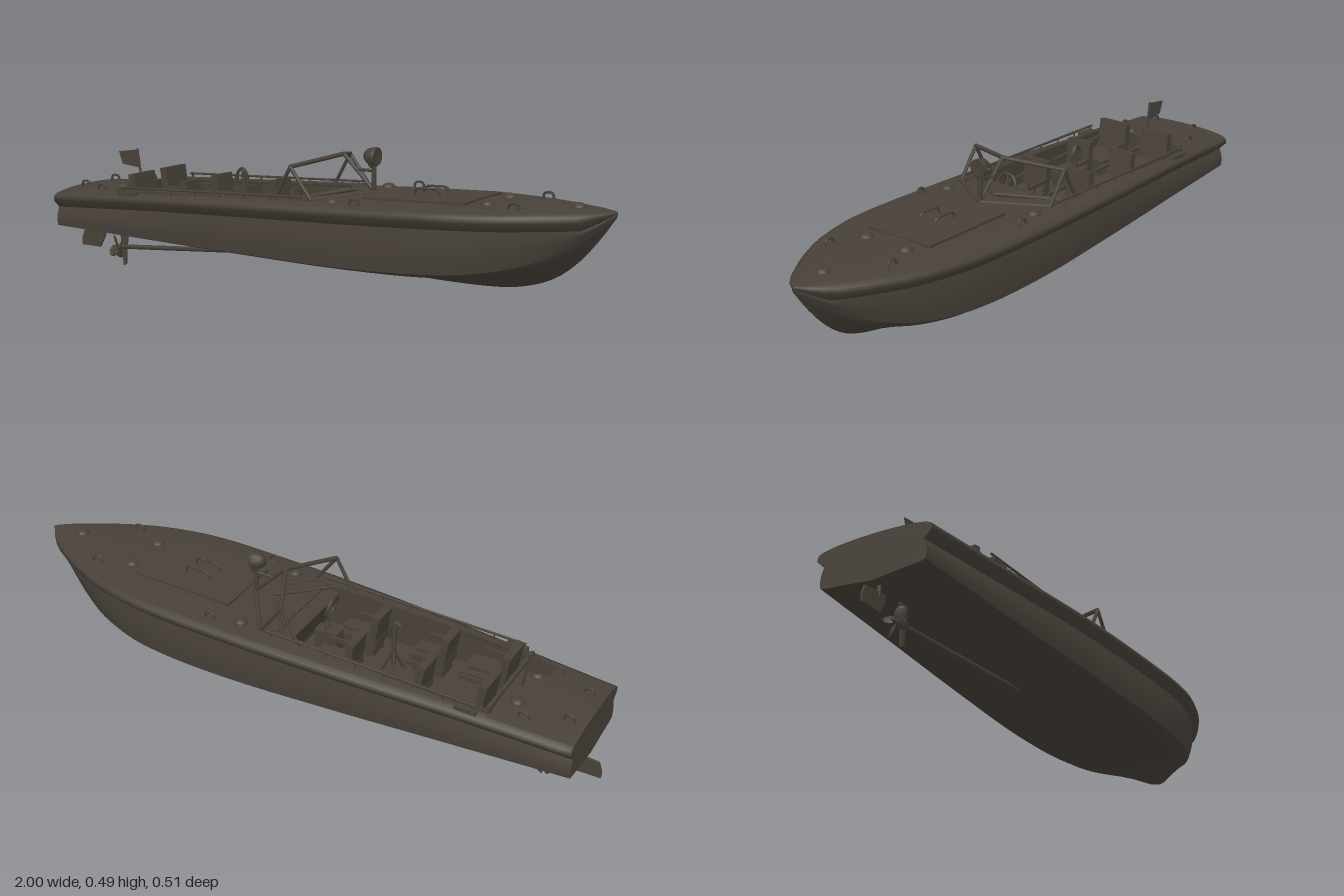
import * as THREE from 'three';

const paint = new THREE.MeshStandardMaterial({ color: 0x484139, side: THREE.DoubleSide });
paint.name = 'dark olive brown';

// Stations: x, half beam, sheer height, keel height, chine half width, chine height
const stations = [
  [-0.96, 0.19, 0.268, 0.135, 0.172, 0.155],
  [-0.6, 0.212, 0.292, 0.122, 0.19, 0.152],
  [-0.2, 0.24, 0.315, 0.112, 0.212, 0.15],
  [0.2, 0.253, 0.333, 0.104, 0.226, 0.15],
  [0.5, 0.246, 0.346, 0.097, 0.212, 0.16],
  [0.68, 0.208, 0.351, 0.106, 0.165, 0.18],
  [0.8, 0.156, 0.355, 0.142, 0.11, 0.215],
  [0.88, 0.11, 0.357, 0.2, 0.068, 0.258],
  [0.95, 0.06, 0.36, 0.28, 0.03, 0.31],
  [0.997, 0.003, 0.362, 0.348, 0.001, 0.352],
];
// Smooth interpolation between stations
function at(x, col) {
  let i = 0;
  while (i < stations.length - 2 && x > stations[i + 1][0]) i++;
  const slope = (k) => {
    const a = stations[Math.max(k - 1, 0)], b = stations[Math.min(k + 1, stations.length - 1)];
    return (b[col] - a[col]) / (b[0] - a[0]);
  };
  const p = stations[i], q = stations[i + 1], h = q[0] - p[0], t = (x - p[0]) / h;
  const t2 = t * t, t3 = t2 * t;
  return (2 * t3 - 3 * t2 + 1) * p[col] + (t3 - 2 * t2 + t) * h * slope(i)
    + (3 * t2 - 2 * t3) * q[col] + (t3 - t2) * h * slope(i + 1);
}
function dims(x) {
  const [b, s, k, c, cy] = [1, 2, 3, 4, 5].map((n) => at(x, n));
  return { b, s, k, c, cy, r: Math.min(0.026, b * 0.4), d: Math.min(1, (s - k) / 0.12) };
}
function deckY(x, z) {
  const { b, s } = dims(x);
  return s + 0.013 * Math.min(1, b / 0.15) * (1 - Math.min(1, (z / b) ** 2));
}
// Cross-sections as [y, z] points, from the keel outward and up
const bottom = (x) => {
  const { k, c, cy } = dims(x);
  return [[0, 0], [0.3, 0.32], [0.6, 0.58], [0.9, 0.8], [1, 1]].map(([u, v]) => [k + (cy - k) * v, c * u]);
};
const side = (x) => {
  const { b, s, c, cy, r, d } = dims(x), top = s - 0.05 * d;
  return [0, 0.25, 0.5, 0.75, 1].map((t) =>
    [cy + (top - cy) * t, c + (b - r - c) * t + 0.006 * d * Math.sin(Math.PI * t)]);
};
const rail = (x) => {
  const { b, s, r, d } = dims(x);
  return [[s - 0.05 * d, b - r], [s - 0.024 * d, b], [s - 0.008 * d, b - 0.15 * r], [s, b - 0.8 * r]];
};
const deckTo = (inner) => (x) => {
  const { b, r } = dims(x), out = b - 0.8 * r;
  return [0, 0.25, 0.5, 0.75, 1].map((t) => {
    const z = out + (inner - out) * t;
    return [t === 0 ? dims(x).s : deckY(x, z), z];
  });
};

export function createModel() {
  const boat = new THREE.Group();
  boat.name = 'patrolBoat';
  const V = (p) => new THREE.Vector3(...p);

  function add(name, geo, pos = [0, 0, 0], rot = [0, 0, 0], parent = boat) {
    const m = new THREE.Mesh(geo, paint);
    m.name = name;
    m.position.set(...pos);
    m.rotation.set(...rot);
    parent.add(m);
    return m;
  }
  const box = (name, size, pos, rot, parent) => add(name, new THREE.BoxGeometry(...size), pos, rot, parent);
  // Round or square bar between two points
  function bar(name, p, q, r, sides = 8) {
    const a = V(p), b = V(q);
    const m = add(name, new THREE.CylinderGeometry(r, r, a.distanceTo(b), sides), a.clone().add(b).multiplyScalar(0.5).toArray());
    m.quaternion.setFromUnitVectors(new THREE.Vector3(0, 1, 0), b.sub(a).normalize());
    return m;
  }
  const tube = (name, pts, r, parent = boat) =>
    add(name, new THREE.TubeGeometry(new THREE.CatmullRomCurve3(pts.map(V)), 16, r, 6), undefined, undefined, parent);
  // Mirrored skin through cross-sections
  function loft(name, x0, x1, n, section) {
    for (const sgn of [1, -1]) {
      const pos = [], idx = [];
      let w = 0;
      for (let i = 0; i <= n; i++) {
        const x = x0 + (x1 - x0) * i / n, pts = section(x);
        w = pts.length;
        for (const [y, z] of pts) pos.push(x, y, z * sgn);
      }
      for (let i = 0; i < n; i++) for (let j = 0; j < w - 1; j++) {
        const a = i * w + j, b = a + w, c = a + 1, e = b + 1;
        idx.push(...(sgn > 0 ? [a, b, c, b, e, c] : [a, c, b, b, c, e]));
      }
      const g = new THREE.BufferGeometry();
      g.setAttribute('position', new THREE.Float32BufferAttribute(pos, 3));
      g.setIndex(idx);
      g.computeVertexNormals();
      add(name, g);
    }
  }

  // Hull
  const stern = -0.96, bow = 0.997, well = [-0.69, 0.03], wz = 0.165, floor = 0.19;
  loft('hullBottom', stern, bow, 70, bottom);
  loft('hullSide', stern, bow, 70, side);
  loft('rubRail', stern, bow, 70, rail);
  const half = [...bottom(stern), ...side(stern), ...rail(stern), ...deckTo(0)(stern)].map(([y, z]) => new THREE.Vector2(z, y));
  const outline = [...half, ...half.slice(1, -1).reverse().map((p) => new THREE.Vector2(-p.x, p.y))];
  add('transom', new THREE.ShapeGeometry(new THREE.Shape(outline)).rotateY(-Math.PI / 2), [stern, 0, 0]);

  // Deck and cockpit well
  loft('aftDeck', stern, well[0], 10, deckTo(0));
  loft('sideDeck', well[0], well[1], 20, deckTo(wz));
  loft('foreDeck', well[1], bow, 40, deckTo(0));
  loft('cockpitWall', well[0], well[1], 12, (x) => [[floor, wz], [deckY(x, wz), wz]]);
  box('cockpitFloor', [well[1] - well[0], 0.01, wz * 2], [(well[0] + well[1]) / 2, floor, 0]);
  for (const x of well) {
    const h = deckY(x, 0) - floor;
    box('bulkhead', [0.008, h, wz * 2], [x, floor + h / 2 - 0.004, 0]);
  }
  box('dashboard', [0.05, 0.07, 0.31], [0.01, 0.29, 0], [0, 0, 0.25]);
  box('aftCoaming', [0.012, 0.02, 0.34], [well[0], 0.298, 0]);
  for (const s of [1, -1]) {
    // Coaming and low handrail beside the cockpit
    bar('coaming', [-0.69, 0.293, s * 0.168], [0.07, 0.334, s * 0.168], 0.009, 4);
    bar('handrail', [-0.66, 0.313, s * 0.186], [0.05, 0.345, s * 0.186], 0.004, 6);
    for (let i = 0; i < 8; i++) {
      const x = -0.65 + i * 0.097, y = deckY(x, 0.186);
      bar('railPost', [x, y - 0.004, s * 0.186], [x, 0.3135 + (x + 0.65) * 0.045, s * 0.186], 0.003, 6);
    }
    box('boardingStep', [0.07, 0.012, 0.02], [-0.63, 0.294, s * 0.19], [0, 0, 0.06]);
  }

  // Seats facing forward
  function seat(name, x, z, len, width, top) {
    const g = new THREE.Group();
    g.name = name;
    boat.add(g);
    box('seatBase', [len * 0.85, 0.045, width * 0.85], [x + len / 2, floor + 0.022, z], undefined, g);
    box('seatCushion', [len, 0.025, width], [x + len / 2, floor + 0.055, z], undefined, g);
    box('seatBack', [0.025, top - floor - 0.06, width], [x + 0.008, (top + floor + 0.06) / 2, z], [0, 0, 0.15], g);
    for (const s of [1, -1]) box('armrest', [len * 0.7, 0.012, 0.01], [x + len * 0.45, floor + 0.095, z + s * width / 2], undefined, g);
  }
  for (const s of [1, -1]) {
    seat('rearSeat', -0.66, s * 0.085, 0.15, 0.11, 0.352);
    seat('middleSeat', -0.455, s * 0.085, 0.12, 0.09, 0.342);
    seat('frontSeat', -0.215, s * 0.085, 0.14, 0.09, 0.346);
  }
  box('rearBench', [0.16, 0.04, 0.31], [-0.6, 0.212, 0]);
  // Helm and levers
  add('steeringWheel', new THREE.TorusGeometry(0.036, 0.004, 6, 20), [-0.035, 0.312, 0.08], [0, Math.PI / 2 - 0.4, 0]).rotation.set(0, Math.PI / 2, 0.3, 'ZYX');
  bar('steeringColumn', [-0.035, 0.312, 0.08], [0.01, 0.295, 0.08], 0.005);
  for (let i = 0; i < 3; i++) {
    const a = i * Math.PI * 2 / 3, c = Math.cos(a) * 0.035;
    bar('wheelSpoke', [-0.035, 0.312, 0.08], [-0.035 - c * 0.3, 0.312 + c * 0.95, 0.08 + Math.sin(a) * 0.035], 0.003, 6);
  }
  box('centreConsole', [0.08, 0.09, 0.045], [-0.07, 0.24, 0]);
  for (const s of [1, -1]) bar('throttleLever', [-0.07, 0.28, s * 0.012], [-0.06, 0.325, s * 0.012], 0.003, 6);
  // Pedestal on three legs
  bar('pedestalPost', [-0.3, 0.23, 0], [-0.3, 0.375, 0], 0.008);
  for (let i = 0; i < 3; i++) {
    const a = i * Math.PI * 2 / 3;
    bar('pedestalLeg', [-0.3, 0.28, 0], [-0.3 + 0.045 * Math.cos(a), floor, 0.045 * Math.sin(a)], 0.005, 6);
  }
  tube('pedestalCradle', [[-0.33, 0.325, 0], [-0.325, 0.365, 0], [-0.305, 0.383, 0], [-0.288, 0.365, 0], [-0.285, 0.325, 0]], 0.005);

  // Open V windscreen frame
  const topMid = [0.085, 0.46, 0], baseMid = [0.2, 0.347, 0];
  bar('windscreenCentrePost', topMid, baseMid, 0.006);
  for (const s of [1, -1]) {
    const top = [0, 0.434, s * 0.176], base = [0.075, 0.336, s * 0.176];
    bar('windscreenTopRail', top, topMid, 0.007);
    bar('windscreenSidePost', top, base, 0.006);
    bar('windscreenSill', base, baseMid, 0.008);
    bar('windscreenBrace', top, [-0.06, 0.325, s * 0.176], 0.006);
    bar('dashEdge', [0.0, 0.332, s * 0.165], [0.13, 0.352, 0], 0.006);
  }
  // Searchlight on its post
  bar('lightPost', [0.195, 0.34, 0], [0.195, 0.432, 0], 0.008);
  bar('lightBrace', [0.125, 0.415, 0], [0.195, 0.415, 0], 0.005);
  add('lightYoke', new THREE.TorusGeometry(0.034, 0.004, 6, 16, Math.PI), [0.193, 0.46, 0], [Math.PI, Math.PI / 2, 0]);
  const lamp = [[0, -0.032], [0.014, -0.029], [0.024, -0.018], [0.029, 0], [0.029, 0.014], [0.026, 0.014], [0, 0.011]];
  add('searchlight', new THREE.LatheGeometry(lamp.map((p) => new THREE.Vector2(...p)), 14), [0.193, 0.46, 0], [0, 0, -Math.PI / 2]);
  for (const s of [1, -1]) bar('lightPivot', [0.193, 0.46, s * 0.026], [0.193, 0.46, s * 0.04], 0.006);

  // Fore hatch with two grab handles
  box('foreHatch', [0.35, 0.014, 0.244], [0.4, 0.3525, 0], [0, 0, 0.04]);
  for (const s of [1, -1])
    tube('hatchHandle', [[0.352, 0.352, s * 0.03], [0.362, 0.376, s * 0.03], [0.4, 0.38, s * 0.03], [0.435, 0.379, s * 0.03], [0.445, 0.355, s * 0.03]], 0.004);

  // Deck vents and cleats
  const vent = (x, z) => add('deckVent', new THREE.SphereGeometry(0.023, 16, 6, 0, Math.PI * 2, 0, Math.PI / 2).scale(1, 0.65, 1), [x, deckY(x, z) - 0.002, z]);
  const cleat = (x, z) => {
    const y = deckY(x, z);
    tube('cleat', [[x - 0.018, y - 0.002, z], [x - 0.012, y + 0.016, z], [x + 0.012, y + 0.016, z], [x + 0.018, y - 0.002, z]], 0.004);
  };
  vent(0.88, 0);
  for (const s of [1, -1]) {
    for (const [x, z] of [[-0.745, 0.078], [0.15, 0.17], [0.625, 0.075]]) vent(x, s * z);
    for (const [x, z] of [[-0.91, 0.078], [-0.79, 0.135], [0.245, 0.2], [0.73, 0.12]]) cleat(x, s * z);
  }

  // Stern flag
  bar('flagStaff', [-0.725, 0.285, 0], [-0.745, 0.415, 0], 0.004);
  const plate = (pts, depth) => new THREE.ExtrudeGeometry(new THREE.Shape(pts.map((p) => new THREE.Vector2(...p))),
    { depth, bevelEnabled: false }).translate(0, 0, -depth / 2);
  add('flag', plate([[-0.745, 0.412], [-0.735, 0.35], [-0.81, 0.358], [-0.825, 0.4]], 0.003));

  // Running gear
  bar('propellerShaft', [-0.84, 0.064, 0], [-0.2, 0.115, 0], 0.008);
  add('shaftStrut', plate([[-0.83, 0.135], [-0.79, 0.135], [-0.8, 0.06], [-0.802, 0.008], [-0.815, 0], [-0.82, 0.06]], 0.006));
  add('propellerHub', new THREE.ConeGeometry(0.014, 0.05, 12), [-0.845, 0.064, 0], [0, 0, Math.PI / 2]);
  for (let i = 0; i < 4; i++) {
    const g = new THREE.SphereGeometry(0.022, 12, 8).scale(0.12, 1, 0.75).rotateY(0.6).translate(0, 0.026, 0);
    add('propellerBlade', g, [-0.84, 0.064, 0], [i * Math.PI / 2 + 0.5, 0, 0]);
  }
  add('rudder', plate([[-0.99, 0.108], [-0.9, 0.118], [-0.895, 0.1], [-0.92, 0.055], [-1, 0.055], [-1, 0.08]], 0.008));
  bar('rudderStock', [-0.925, 0.1, 0], [-0.925, 0.15, 0], 0.007);
  return boat;
}
